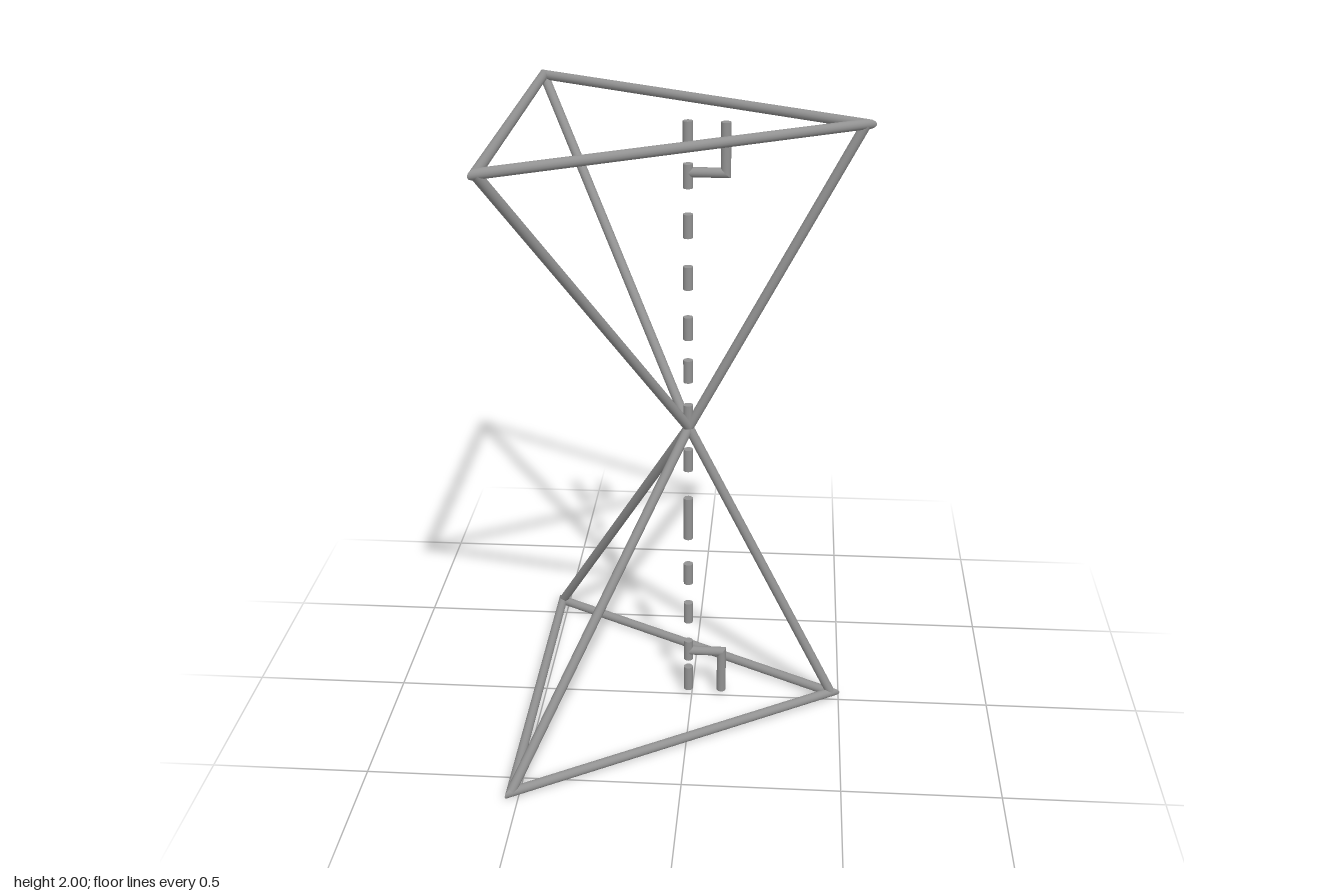
import * as THREE from 'three';

const R = 0.0153;
const SIDES = 16;
const V = (x, y, z) => new THREE.Vector3(x, y, z);
const material = new THREE.MeshStandardMaterial({ color: 0x929292 });

// Slide the end vertices of a rod along its direction onto a mitre plane.
function mitre(geometry, point, dir, normal) {
  const pos = geometry.attributes.position;
  const p = V(0, 0, 0);
  for (let i = 0; i < pos.count; i++) {
    p.fromBufferAttribute(pos, i).sub(point);
    if (Math.abs(p.dot(dir)) > R) continue;
    p.addScaledVector(dir, -p.dot(normal) / dir.dot(normal)).add(point);
    pos.setXYZ(i, p.x, p.y, p.z);
  }
}

// Round rod from a to b, with optional mitre plane normals at its ends.
function rod(name, a, b, normalA, normalB) {
  const dir = b.clone().sub(a);
  const length = dir.length();
  dir.normalize();
  const geometry = new THREE.CylinderGeometry(R, R, length, SIDES);
  geometry.applyQuaternion(new THREE.Quaternion().setFromUnitVectors(V(0, 1, 0), dir));
  const mid = a.clone().lerp(b, 0.5);
  geometry.translate(mid.x, mid.y, mid.z);
  if (normalA) mitre(geometry, a, dir, normalA);
  if (normalB) mitre(geometry, b, dir, normalB);
  const mesh = new THREE.Mesh(geometry, material);
  mesh.name = name;
  return mesh;
}

// Chain of rods with mitred corners.
function rodPath(name, points, closed) {
  const group = new THREE.Group();
  group.name = name;
  const n = points.length;
  const count = closed ? n : n - 1;
  const dirs = [];
  for (let i = 0; i < count; i++) dirs.push(points[(i + 1) % n].clone().sub(points[i]).normalize());
  const corner = (i, j) => dirs[i].clone().add(dirs[j]).normalize();
  for (let i = 0; i < count; i++) {
    const before = closed || i > 0 ? corner((i + count - 1) % count, i) : null;
    const after = closed || i < count - 1 ? corner(i, (i + 1) % count) : null;
    group.add(rod(name + 'Rod', points[i], points[(i + 1) % n], before, after));
  }
  return group;
}

export function createModel() {
  const model = new THREE.Group();
  model.name = 'doublePyramidFrame';
  const cx = -0.012, cz = -0.011;
  const apex = V(-0.01, 1.002, -0.01);

  // Two triangular pyramids sharing one apex
  const pyramids = {
    upper: [V(0.505, 1.985, -0.003), V(-0.523, 1.985, -0.592), V(-0.523, 1.985, 0.592)],
    lower: [V(0.473, 0.026, -0.006), V(-0.523, 0.016, -0.563), V(-0.523, 0.016, 0.592)],
  };
  for (const [level, corners] of Object.entries(pyramids)) {
    model.add(rodPath(level + 'Base', corners, true));
    for (const c of corners) model.add(rod(level + 'SlantEdge', c, apex));
  }

  // Dashed height line
  const dashes = [
    [1.985, 1.9], [1.857, 1.783], [1.703, 1.629], [1.538, 1.465], [1.375, 1.301],
    [1.232, 1.158], [1.08, 1.015], [0.925, 0.85], [0.75, 0.602], [0.507, 0.433],
    [0.358, 0.284], [0.21, 0.137], [0.106, 0.018],
  ];
  for (const [top, bottom] of dashes) model.add(rod('heightDash', V(cx, bottom, cz), V(cx, top, cz)));

  // Right-angle marks at both ends of the height
  for (const [name, y, end] of [['upperAngleMark', 1.831, 1.983], ['lowerAngleMark', 0.17, 0.018]]) {
    model.add(rodPath(name, [V(cx, y, cz), V(0.1, y, cz), V(0.1, end, cz)], false));
  }
  return model;
}
